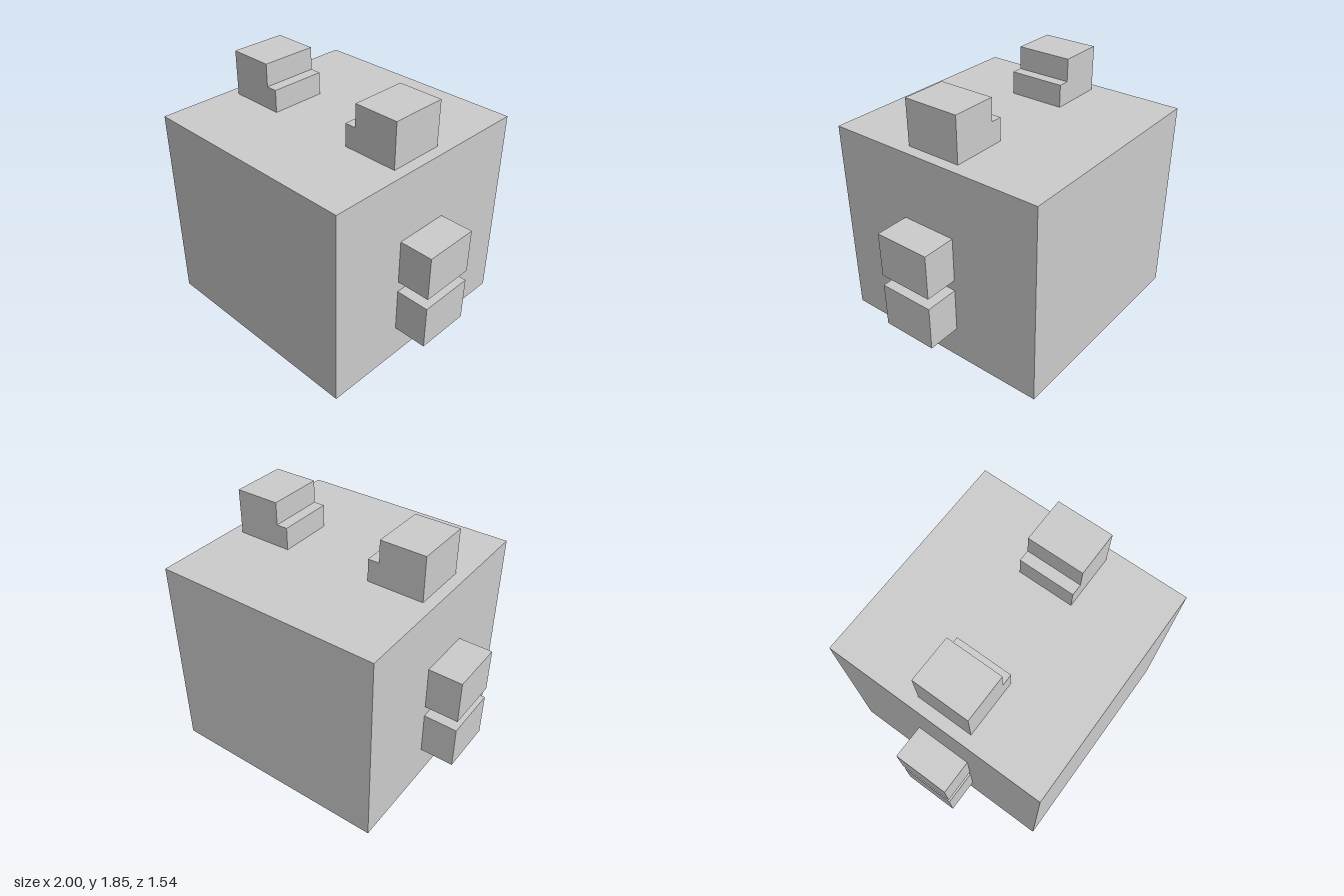
import * as THREE from 'three';

// Everything sits on a regular grid: 26 cells span the full width of 2 units.
const CELL = 1 / 13;
const material = new THREE.MeshStandardMaterial({ color: 0xcccccc, flatShading: true });

// Box from min/max grid corners
function block(name, [x0, y0, z0], [x1, y1, z1]) {
  const geometry = new THREE.BoxGeometry((x1 - x0) * CELL, (y1 - y0) * CELL, (z1 - z0) * CELL);
  const mesh = new THREE.Mesh(geometry, material);
  mesh.name = name;
  mesh.position.set((x0 + x1) / 2, (y0 + y1) / 2, (z0 + z1) / 2).multiplyScalar(CELL);
  return mesh;
}

// Same box on the left (+x) or right (-x) side
function sideBlock(name, side, [x0, y0, z0], [x1, y1, z1]) {
  const mesh = block(name, [x0, y0, z0], [x1, y1, z1]);
  mesh.position.x *= side;
  return mesh;
}

// Ear with a low step on its inner side, extruded front to back
function ear(name, side) {
  const outline = [[4, 20], [9, 20], [9, 24], [5, 24], [5, 22], [4, 22]];
  const shape = new THREE.Shape(outline.map(([x, y]) => new THREE.Vector2(side * x * CELL, y * CELL)));
  const geometry = new THREE.ExtrudeGeometry(shape, { depth: 5 * CELL, bevelEnabled: false });
  const mesh = new THREE.Mesh(geometry, material);
  mesh.name = name;
  mesh.position.z = -2 * CELL;
  return mesh;
}

export function createModel() {
  const model = new THREE.Group();
  model.name = 'blockCreature';

  model.add(block('body', [-10, 2, -10], [10, 20, 10]));

  for (const [label, side] of [['left', 1], ['right', -1]]) {
    model.add(ear(label + 'Ear', side));

    // Two stacked arms
    model.add(sideBlock(label + 'UpperArm', side, [10, 10, -2], [13, 14, 3]));
    model.add(sideBlock(label + 'LowerArm', side, [10, 5, -2], [13, 9, 3]));

    // Feet
    model.add(sideBlock(label + 'FrontFoot', side, [4, 0, 4], [8, 2, 8]));
    model.add(sideBlock(label + 'BackFoot', side, [4, 0, -8], [8, 2, -4]));
  }
  return model;
}
